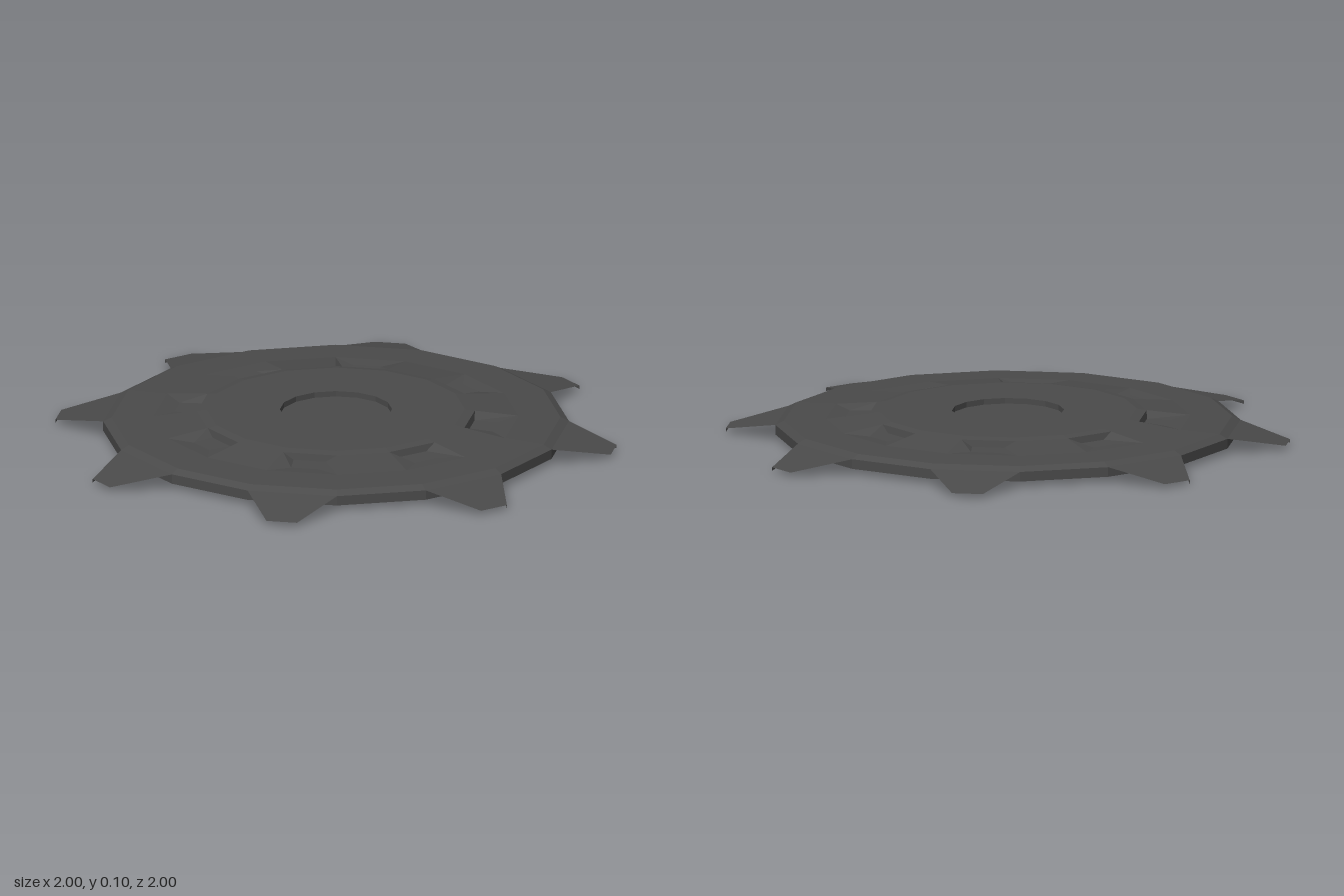
import * as THREE from 'three';

const SIDES = 16;
const STEP = (Math.PI * 2) / SIDES;

// Point at radius r, height y, at k steps round the disc
const polar = (r, y, k) => [r * Math.cos(k * STEP), y, r * Math.sin(k * STEP)];

// Collects quads (counter-clockwise from outside) into a mesh
function quadMesh(name, quads, material) {
  const pos = [];
  for (const [a, b, c, d] of quads) pos.push(...a, ...b, ...c, ...a, ...c, ...d);
  const geo = new THREE.BufferGeometry();
  geo.setAttribute('position', new THREE.Float32BufferAttribute(pos, 3));
  geo.computeVertexNormals();
  const mesh = new THREE.Mesh(geo, material);
  mesh.name = name;
  return mesh;
}

// Joins a top loop to a bottom loop with side walls
const walls = (top, bottom) =>
  top.map((p, i) => {
    const j = (i + 1) % top.length;
    return [p, top[j], bottom[j], bottom[i]];
  });

export function createModel() {
  const group = new THREE.Group();
  group.name = 'toothedDisc';
  const material = new THREE.MeshStandardMaterial({ color: 0x4a4a4a, flatShading: true });

  // Faceted bands between consecutive [radius, height] rings
  const bands = (profile) => {
    const quads = [];
    for (let i = 0; i < profile.length - 1; i++) {
      const [r0, y0] = profile[i], [r1, y1] = profile[i + 1];
      for (let k = 0; k < SIDES; k++) {
        quads.push([polar(r0, y0, k), polar(r0, y0, k + 1), polar(r1, y1, k + 1), polar(r1, y1, k)]);
      }
    }
    return quads;
  };

  // Raised hub plate with a shallow round recess
  group.add(quadMesh('hubPlate', bands([[0, 0.08], [0.2, 0.08], [0.2, 0.1], [0.46, 0.1], [0.495, 0.094]]), material));

  // Rim with bevelled edge, and flat underside
  group.add(quadMesh('rim', bands([[0.65, 0.075], [0.8, 0.07], [0.83, 0.055], [0.83, 0.02], [0, 0.02]]), material));

  // Sloping collar: plain facets alternate with shallow pockets
  const collar = [], pockets = [], teeth = [];
  for (let k = 0; k < SIDES; k++) {
    const outer = [polar(0.495, 0.094, k), polar(0.495, 0.094, k + 1), polar(0.65, 0.075, k + 1), polar(0.65, 0.075, k)];
    if (k % 2) {
      collar.push(outer);
      continue;
    }
    const floor = [polar(0.495, 0.07, k + 0.2), polar(0.495, 0.07, k + 0.8), polar(0.58, 0.07, k + 0.72), polar(0.58, 0.07, k + 0.28)];
    pockets.push(floor, ...walls(outer, floor));

    // Tapering tooth on the same facet, drooping to the ground
    const top = [polar(0.83, 0.055, k), polar(0.83, 0.055, k + 1), polar(1.01, 0.013, k + 0.64), polar(1.01, 0.013, k + 0.36)];
    const base = [polar(0.83, 0.02, k), polar(0.83, 0.02, k + 1), polar(1.01, 0, k + 0.64), polar(1.01, 0, k + 0.36)];
    teeth.push(top, [...base].reverse(), ...walls(top, base).slice(1));
  }
  group.add(quadMesh('collar', collar, material));
  group.add(quadMesh('pockets', pockets, material));
  group.add(quadMesh('teeth', teeth, material));

  return group;
}
